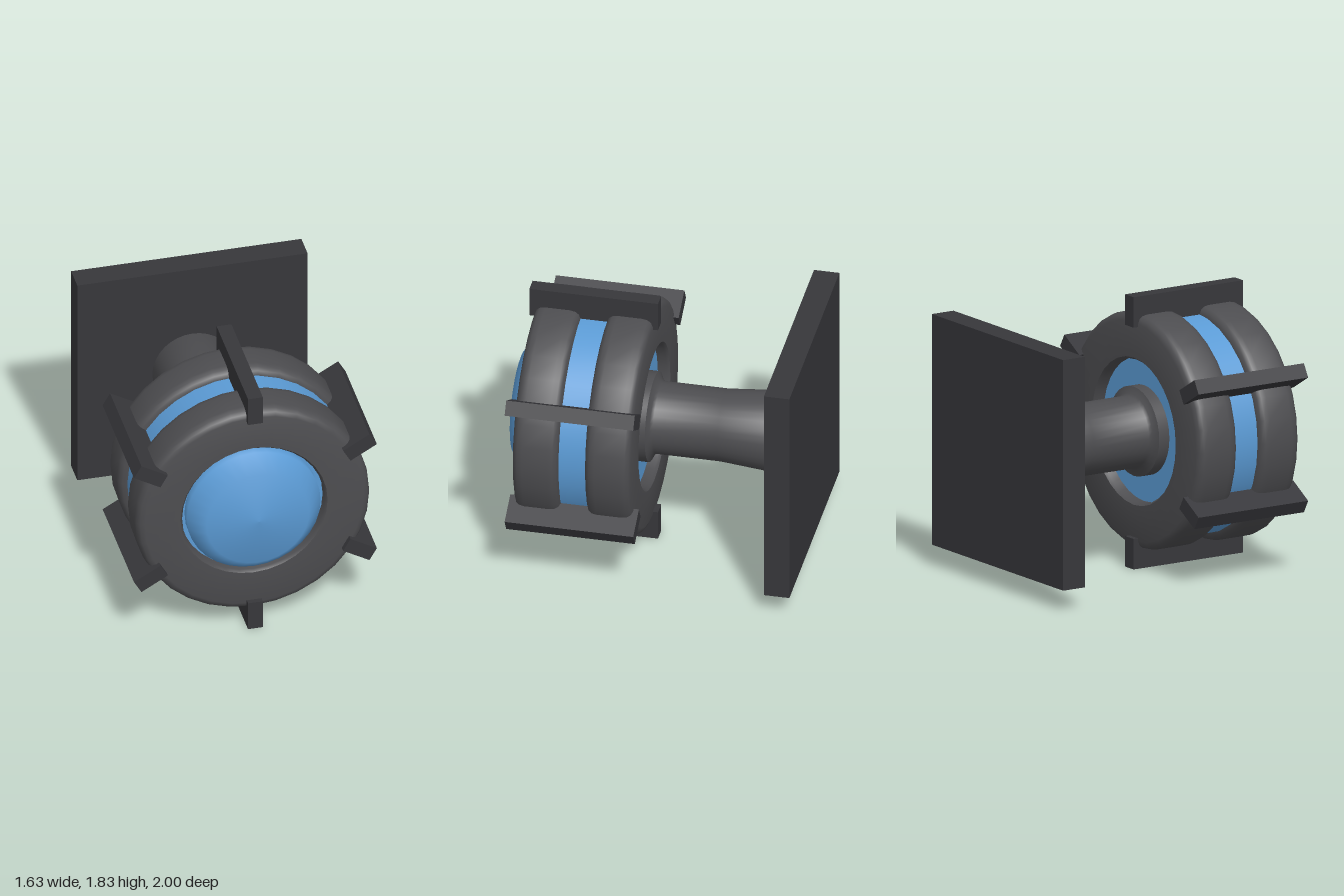
import * as THREE from 'three';
import { toCreasedNormals } from 'three/addons/utils/BufferGeometryUtils.js';

const CENTER_Y = 0.915;
const SEGMENTS = 32;

export function createModel() {
  const model = new THREE.Group();
  model.name = 'wallLamp';
  const rubber = new THREE.MeshStandardMaterial({ color: 0x4d4d50 });
  const metal = new THREE.MeshStandardMaterial({ color: 0x37373b });
  const blue = new THREE.MeshStandardMaterial({ color: 0x5b9bd5 });

  // everything is laid out around the z axis, then lifted to its height
  const head = new THREE.Group();
  head.name = 'assembly';
  head.position.y = CENTER_Y;
  model.add(head);

  const add = (name, geometry, material, parent = head) => {
    const mesh = new THREE.Mesh(geometry, material);
    mesh.name = name;
    parent.add(mesh);
    return mesh;
  };

  // profile of [radius, z] pairs turned around the z axis
  const turned = (profile, crease) => {
    const points = profile.map(([r, z]) => new THREE.Vector2(r, z));
    const geometry = new THREE.LatheGeometry(points, SEGMENTS).rotateX(Math.PI / 2);
    return crease ? toCreasedNormals(geometry, crease) : geometry;
  };

  // square wall plate
  add('wallPlate', new THREE.BoxGeometry(1.55, 1.55, 0.17), metal).position.z = -0.915;

  // stem with flared ends
  add('stem', turned([
    [0, -0.84], [0.265, -0.84], [0.265, -0.83], [0.275, -0.81], [0.24, -0.4],
    [0.24, 0.03], [0.255, 0.05], [0.3, 0.07], [0.3, 0.16],
  ], 0.7), rubber);

  // inner drum
  add('drum', turned([[0, 0.15], [0.735, 0.15], [0.735, 0.78], [0, 0.78]], 0.6), blue);

  // front dome
  add('dome', turned([[0.45, 0.77], [0.45, 0.85], [0.345, 0.963], [0, 0.998]]), blue);

  // two rounded outer rings
  const ringProfile = [
    [0.48, 0.02], [0.495, 0], [0.735, 0], [0.765, 0.012], [0.783, 0.035], [0.79, 0.07],
    [0.79, 0.235], [0.783, 0.27], [0.765, 0.293], [0.735, 0.305], [0.495, 0.305],
    [0.48, 0.285], [0.48, 0.02],
  ];
  [['backRing', 0.07], ['frontRing', 0.553]].forEach(([name, z]) => {
    add(name, turned(ringProfile, 0.7), rubber).position.z = z;
  });

  // six bars clamped around the rings
  for (let i = 0; i < 6; i++) {
    const arm = new THREE.Group();
    arm.name = `bar${i + 1}`;
    arm.rotation.z = (i * Math.PI) / 3;
    head.add(arm);
    add('barBlock', new THREE.BoxGeometry(0.1, 0.205, 0.86), metal, arm)
      .position.set(0, 0.8125, 0.465);
  }

  return model;
}
